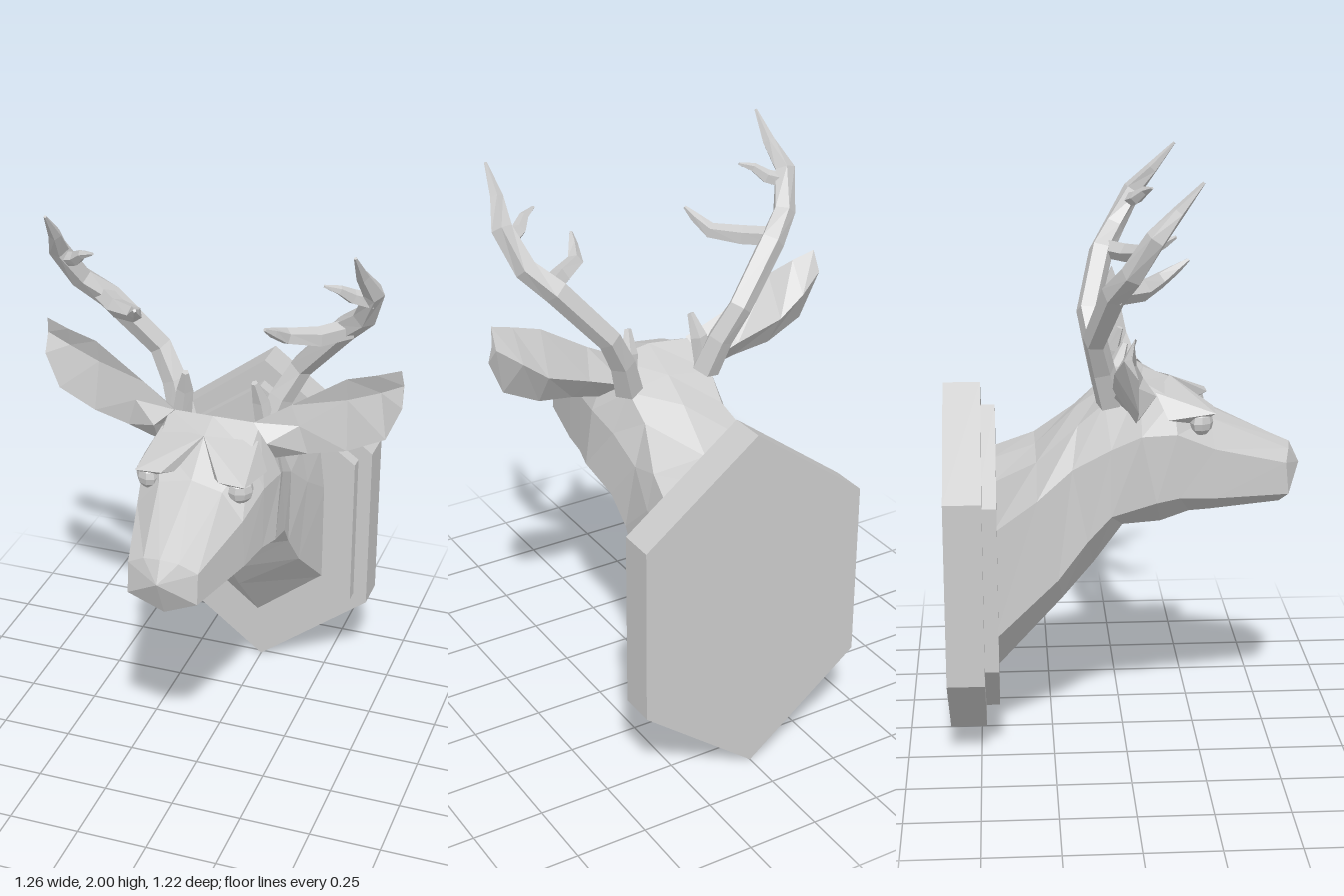
import * as THREE from 'three';
import { ConvexGeometry } from 'three/addons/geometries/ConvexGeometry.js';

const material = new THREE.MeshStandardMaterial({ color: 0xcccccc, flatShading: true });
const V = (p) => new THREE.Vector3(...p);

function addMesh(parent, name, geometry) {
  const mesh = new THREE.Mesh(geometry, material);
  mesh.name = name;
  parent.add(mesh);
  return mesh;
}

// Skins a list of equal-length rings, closing both ends; the last end may be a point.
function loft(rings, tip) {
  const n = rings[0].length;
  const tris = [];
  const centre = (ring) => ring.reduce((s, p) => s.add(p), new THREE.Vector3()).divideScalar(n);
  const first = rings[0], last = rings[rings.length - 1];
  const start = centre(first), end = tip || centre(last);
  for (let j = 0; j < n; j++) {
    const k = (j + 1) % n;
    for (let i = 0; i < rings.length - 1; i++) {
      const a = rings[i], b = rings[i + 1];
      tris.push([a[j], a[k], b[k]], [a[j], b[k], b[j]]);
    }
    tris.push([start, first[k], first[j]], [end, last[j], last[k]]);
  }
  // Turn the faces outward whatever the ring direction
  const volume = tris.reduce((s, [a, b, c]) => s + a.dot(b.clone().cross(c)), 0);
  const pts = tris.flatMap(([a, b, c]) => (volume < 0 ? [a, c, b] : [a, b, c]));
  const geometry = new THREE.BufferGeometry().setFromPoints(pts);
  geometry.computeVertexNormals();
  return geometry;
}

// Tapered faceted rod along a path of [x, y, z, radius]; ends in a small blunt tip.
function rod(path, reference, sides = 5) {
  const pts = path.map(([x, y, z]) => V([x, y, z]));
  const rings = pts.map((p, i) => {
    const t = pts[Math.min(i + 1, pts.length - 1)].clone().sub(pts[Math.max(i - 1, 0)]).normalize();
    const u = new THREE.Vector3().crossVectors(t, reference).normalize();
    const v = new THREE.Vector3().crossVectors(t, u);
    return Array.from({ length: sides }, (_, j) => {
      const a = (j / sides) * Math.PI * 2;
      return p.clone().addScaledVector(u, Math.cos(a) * path[i][3]).addScaledVector(v, Math.sin(a) * path[i][3]);
    });
  });
  return loft(rings);
}

function hexagonBoard(halfWidth, bottom, low, high, top, back, front) {
  const outline = [[0, bottom], [halfWidth, low], [halfWidth, high], [0, top], [-halfWidth, high], [-halfWidth, low]];
  const shape = new THREE.Shape(outline.map(([x, y]) => new THREE.Vector2(x, y)));
  return new THREE.ExtrudeGeometry(shape, { depth: front - back, bevelEnabled: false }).translate(0, 0, back);
}

export function createModel() {
  const model = new THREE.Group();
  model.name = 'mountedDeerHead';

  // Wall plaque with a raised inner panel
  addMesh(model, 'plaque', hexagonBoard(0.41, 0, 0.32, 0.95, 1.26, -0.61, -0.483));
  addMesh(model, 'plaquePanel', hexagonBoard(0.36, 0.08, 0.35, 0.92, 1.18, -0.5, -0.435));

  // Neck and head: half sections from crown to underside, mirrored into rings
  const sections = [
    [[0, 0.99, -0.45], [0.23, 0.97, -0.45], [0.25, 0.8, -0.45], [0.25, 0.42, -0.45], [0, 0.22, -0.45]],
    [[0, 1.04, -0.3], [0.2, 1.03, -0.3], [0.225, 0.9, -0.3], [0.22, 0.62, -0.23], [0, 0.48, -0.21]],
    [[0, 1.17, -0.16], [0.15, 1.14, -0.16], [0.2, 1.0, -0.18], [0.21, 0.75, -0.13], [0, 0.61, -0.1]],
    [[0, 1.24, -0.06], [0.16, 1.22, -0.07], [0.21, 1.07, -0.05], [0.22, 0.84, -0.05], [0, 0.745, 0]],
    [[0, 1.305, 0.07], [0.16, 1.295, 0.05], [0.235, 1.12, 0.05], [0.235, 0.89, 0.1], [0, 0.755, 0.13]],
    [[0, 1.27, 0.16], [0.16, 1.23, 0.16], [0.215, 1.12, 0.17], [0.215, 0.9, 0.18], [0, 0.79, 0.23]],
    [[0, 1.17, 0.28], [0.11, 1.15, 0.29], [0.185, 1.06, 0.3], [0.19, 0.89, 0.3], [0, 0.795, 0.3]],
    [[0, 1.035, 0.575], [0.06, 1.025, 0.565], [0.12, 0.99, 0.55], [0.12, 0.88, 0.56], [0, 0.82, 0.545]],
  ];
  const rings = sections.map((half) => [
    ...half.map(V),
    ...half.slice(1, 4).reverse().map(([x, y, z]) => V([-x, y, z])),
  ]);
  addMesh(model, 'neckAndHead', loft(rings, V([0, 0.96, 0.61])));

  for (const [side, s] of [['left', 1], ['right', -1]]) {
    const flip = ([x, ...rest]) => [s * x, ...rest];

    // Brow ridge overhanging the eye
    addMesh(model, side + 'Brow', new ConvexGeometry([
      [0, 1.275, 0.16], [0.1, 1.19, 0.3], [0.19, 1.185, 0.3], [0.215, 1.17, 0.14],
      [0.17, 1.255, 0.1], [0, 1.15, 0.15], [0.15, 1.14, 0.24],
    ].map((p) => V(flip(p)))));

    const eye = addMesh(model, side + 'Eye', new THREE.SphereGeometry(0.045, 8, 6));
    eye.position.set(s * 0.163, 1.15, 0.255);
    eye.rotation.y = s * 0.7;
    eye.scale.z = 0.8;

    // Ear: top rim, hollow, bottom rim and back ridge, from root to tip
    addMesh(model, side + 'Ear', loft([
      [[0.14, 1.3, 0.06], [0.2, 1.25, 0.1], [0.21, 1.17, 0.04], [0.15, 1.23, -0.04]],
      [[0.26, 1.37, 0.03], [0.29, 1.3, 0.035], [0.32, 1.2, 0.03], [0.29, 1.28, -0.04]],
      [[0.44, 1.485, 0.01], [0.44, 1.4, -0.01], [0.45, 1.225, 0.015], [0.45, 1.34, -0.06]],
      [[0.54, 1.515, 0.01], [0.55, 1.44, -0.02], [0.58, 1.29, 0.015], [0.54, 1.41, -0.06]],
      [[0.62, 1.54, 0], [0.627, 1.48, -0.015], [0.63, 1.41, 0.01], [0.622, 1.47, -0.035]],
    ].map((ring) => ring.map((p) => V(flip(p))))));

    // Antler: main beam, two tines and a short spike by the root
    const antler = new THREE.Group();
    antler.name = side + 'Antler';
    model.add(antler);
    const up = new THREE.Vector3(0, 1, 0), forward = new THREE.Vector3(0, 0, 1);
    addMesh(antler, 'beam', rod([
      [0.15, 1.22, -0.05, 0.05], [0.19, 1.34, -0.08, 0.045], [0.25, 1.45, -0.105, 0.042],
      [0.41, 1.635, -0.05, 0.045], [0.49, 1.71, 0.0, 0.04], [0.535, 1.83, 0.07, 0.036],
      [0.515, 1.91, 0.14, 0.022], [0.511, 2.0, 0.218, 0.005],
    ].map(flip), forward));
    addMesh(antler, 'lowerTine', rod([
      [0.43, 1.64, -0.04, 0.035], [0.35, 1.635, 0.04, 0.035], [0.26, 1.65, 0.1, 0.028],
      [0.235, 1.685, 0.16, 0.017], [0.22, 1.71, 0.2, 0.006],
    ].map(flip), up));
    addMesh(antler, 'upperTine', rod([
      [0.53, 1.79, 0.05, 0.028], [0.47, 1.81, 0.08, 0.025], [0.435, 1.84, 0.11, 0.016], [0.39, 1.855, 0.13, 0.005],
    ].map(flip), up));
    addMesh(antler, 'spike', rod([
      [0.15, 1.24, -0.04, 0.035], [0.135, 1.34, -0.03, 0.03], [0.122, 1.415, 0, 0.012],
    ].map(flip), forward));
  }
  return model;
}
